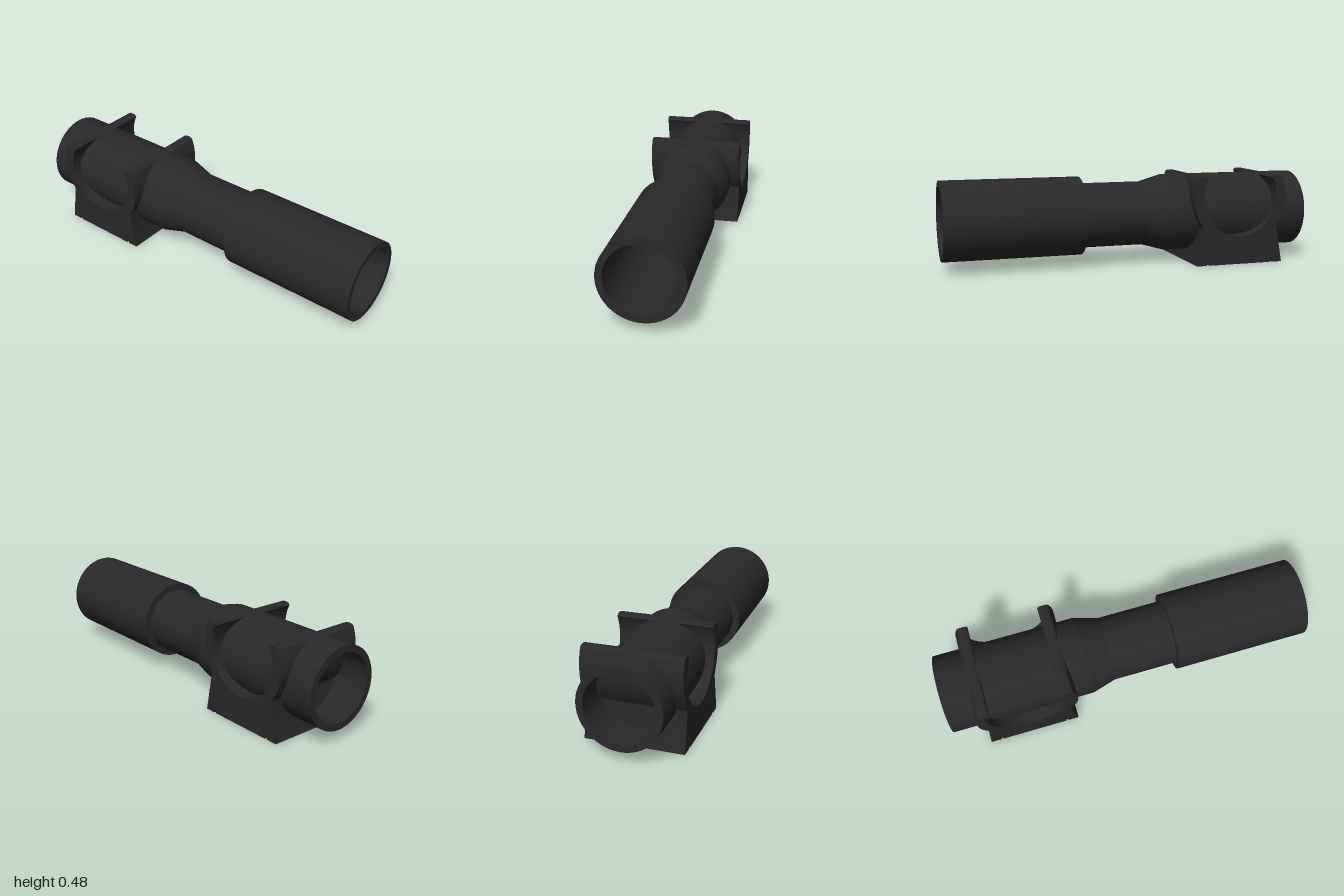
import * as THREE from 'three';
import { toCreasedNormals } from 'three/addons/utils/BufferGeometryUtils.js';

const AXIS_Y = 0.27;
const material = new THREE.MeshStandardMaterial({ color: 0x29292c });

// Hollow tube along x from a closed profile of [x, radius] pairs
function tube(name, profile) {
  const points = [...profile, profile[0]].map(([x, r]) => new THREE.Vector2(r, x));
  const geometry = new THREE.LatheGeometry(points, 64);
  geometry.rotateZ(-Math.PI / 2);
  const mesh = new THREE.Mesh(toCreasedNormals(geometry, 0.2), material);
  mesh.name = name;
  mesh.position.y = AXIS_Y;
  return mesh;
}

// Open C-shaped cradle on a flared, grooved foot, extruded along z
function cradle() {
  const cy = 0.37, outer = 0.27, inner = 0.215, depth = 0.512;
  const right = [[0.18, 0], [0.188, 0.03], [0.195, 0], [0.253, 0], [0.217, 0.2]];
  const arc = (r, from, to, n) => {
    for (let i = 0; i <= n; i++) {
      const a = from + (to - from) * i / n;
      right.push([r * Math.cos(a), cy + r * Math.sin(a)]);
    }
  };
  arc(outer, -0.63, 0.4, 14);
  right.push([0.24, 0.482], [0.228, 0.484], [0.21, 0.484], [0.198, 0.481]); // rounded tip
  arc(inner, 0.49, -Math.PI / 2, 28);

  // Mirror the right half to close the outline
  const left = right.slice(0, -1).reverse().map(([x, y]) => [-x, y]);
  const shape = new THREE.Shape([...right, ...left].map(([x, y]) => new THREE.Vector2(x, y)));
  const geometry = new THREE.ExtrudeGeometry(shape, { depth, bevelEnabled: false });
  geometry.translate(-0.585, 0, -depth / 2);
  const mesh = new THREE.Mesh(toCreasedNormals(geometry, 0.4), material);
  mesh.name = 'cradle';
  return mesh;
}

export function createModel() {
  const group = new THREE.Group();
  group.name = 'pipeWithCradle';
  group.add(
    // Wide end tapering into the narrow middle pipe
    tube('reducerPipe', [
      [-1, 0.212], [-0.22, 0.212], [-0.09, 0.175], [0.27, 0.175],
      [0.27, 0.142], [-0.09, 0.142], [-0.22, 0.178], [-1, 0.178],
    ]),
    // Wide sleeve at the other end
    tube('socket', [[0.26, 0.212], [1, 0.212], [1, 0.178], [0.26, 0.175]]),
    cradle(),
  );
  return group;
}
